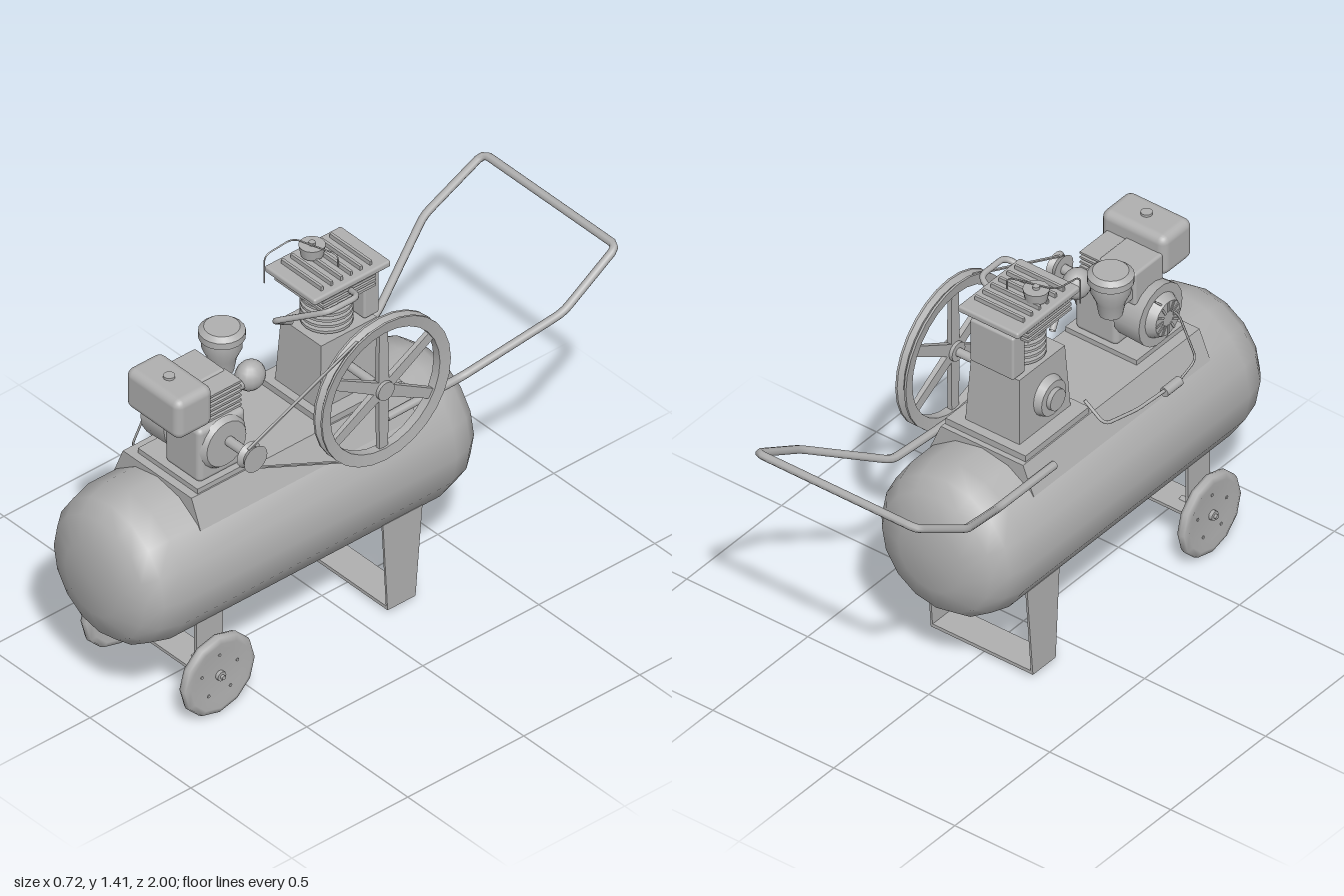
import * as THREE from 'three';
import { toCreasedNormals } from 'three/addons/utils/BufferGeometryUtils.js';
import { RoundedBoxGeometry } from 'three/addons/geometries/RoundedBoxGeometry.js';

const grey = new THREE.MeshStandardMaterial({ color: 0xb0b0b0, side: THREE.DoubleSide });
grey.name = 'grey';

export function createModel() {
  const model = new THREE.Group();
  model.name = 'airCompressor';

  const add = (name, geo, x = 0, y = 0, z = 0, parent = model) => {
    const m = new THREE.Mesh(geo, grey);
    m.name = name;
    m.position.set(x, y, z);
    parent.add(m);
    return m;
  };
  const group = (name) => {
    const g = new THREE.Group();
    g.name = name;
    model.add(g);
    return g;
  };
  // box given by its minimum and maximum corners
  const box = (name, [x0, y0, z0], [x1, y1, z1], parent, r = 0) => {
    const s = [x1 - x0, y1 - y0, z1 - z0];
    const geo = r ? new RoundedBoxGeometry(...s, 3, r) : new THREE.BoxGeometry(...s);
    return add(name, geo, (x0 + x1) / 2, (y0 + y1) / 2, (z0 + z1) / 2, parent);
  };
  // cylinder along x, y or z
  const cyl = (name, axis, rTop, rBottom, len, [x, y, z], parent, sides = 20) => {
    const geo = new THREE.CylinderGeometry(rTop, rBottom, len, sides);
    if (axis === 'x') geo.rotateZ(-Math.PI / 2);
    if (axis === 'z') geo.rotateX(Math.PI / 2);
    return add(name, geo, x, y, z, parent);
  };
  const lathe = (pts, sides) => new THREE.LatheGeometry(pts.map((p) => new THREE.Vector2(...p)), sides);
  // pipe with straight runs and tight bends
  const pipe = (name, pts, r, parent, sides = 8) => {
    const v = pts.map((p) => new THREE.Vector3(...p));
    const path = new THREE.CurvePath();
    let from = v[0];
    for (let i = 1; i < v.length - 1; i++) {
      const a = v[i].clone().lerp(v[i - 1], Math.min(0.4, 0.03 / v[i].distanceTo(v[i - 1])));
      const b = v[i].clone().lerp(v[i + 1], Math.min(0.4, 0.03 / v[i].distanceTo(v[i + 1])));
      path.add(new THREE.LineCurve3(from, a));
      path.add(new THREE.QuadraticBezierCurve3(a, v[i], b));
      from = b;
    }
    path.add(new THREE.LineCurve3(from, v[v.length - 1]));
    return add(name, new THREE.TubeGeometry(path, v.length * 16, r, sides, false), 0, 0, 0, parent);
  };

  // air tank with domed ends
  const tank = lathe([[0, -0.5], [0.13, -0.495], [0.225, -0.46], [0.265, -0.41], [0.285, -0.335],
    [0.285, 0.83], [0.265, 0.91], [0.225, 0.96], [0.13, 0.995], [0, 1]], 16);
  add('airTank', toCreasedNormals(tank.rotateX(Math.PI / 2), 0.6), 0, 0.56, 0);

  // saddle folded over the tank
  const fold = new THREE.Shape([[-0.215, 0.745], [0.215, 0.745], [0.17, 0.853], [-0.17, 0.853]]
    .map((p) => new THREE.Vector2(...p)));
  add('saddle', new THREE.ExtrudeGeometry(fold, { depth: 0.93, bevelEnabled: false }), 0, 0, -0.22);

  // push handle
  const side = [[0.33, 1.13, -0.985], [0.345, 0.99, -0.74], [0.215, 0.815, -0.42], [0.205, 0.8, -0.1]];
  pipe('handle', [...side.map(([x, y, z]) => [-x, y, z]).reverse(), ...side], 0.0145);

  // rear leg: tapered straps joined by a foot bar
  const leg = group('rearLeg');
  const strap = new THREE.Shape([[0.25, 0.37], [0.08, 0.37], [0.1, 0.015], [0.22, 0.015]]
    .map((p) => new THREE.Vector2(...p)));
  for (const s of [-1, 1]) {
    const geo = new THREE.ExtrudeGeometry(strap, { depth: 0.008, bevelEnabled: false });
    geo.translate(0, 0, -0.004).rotateY(Math.PI / 2);
    add('legStrap', geo, s * 0.207, 0, 0, leg);
  }
  box('footBar', [-0.207, 0.015, -0.22], [0.207, 0.028, -0.1], leg);

  // wheels on their bracket and axle
  const cart = group('wheelAssembly');
  cyl('axle', 'x', 0.008, 0.008, 0.56, [0, 0.16, 0.665], cart, 8);
  box('axlePlate', [-0.2, 0.158, 0.605], [0.2, 0.17, 0.72], cart);
  for (const s of [-1, 1]) {
    box('wheelBracket', [s * 0.2 - 0.005, 0.158, 0.605], [s * 0.2 + 0.005, 0.375, 0.72], cart);
    cyl('axleClamp', 'x', 0.014, 0.014, 0.055, [s * 0.157, 0.163, 0.665], cart, 8);
    const wheel = lathe([[0, -0.012], [0.1, -0.012], [0.13, -0.021], [0.15, -0.014], [0.156, 0],
      [0.15, 0.014], [0.13, 0.021], [0.1, 0.012], [0, 0.012]], 12);
    add('wheel', wheel.rotateZ(Math.PI / 2), s * 0.245, 0.16, 0.665, cart);
    cyl('wheelHub', 'x', 0.018, 0.018, 0.05, [s * 0.245, 0.16, 0.665], cart, 10);
    for (let i = 0; i < 5; i++) {
      const a = (i / 5) * Math.PI * 2;
      cyl('wheelBolt', 'x', 0.006, 0.006, 0.03,
        [s * 0.245, 0.16 + 0.08 * Math.cos(a), 0.665 + 0.08 * Math.sin(a)], cart, 6);
    }
  }

  // flywheel with grooved rim and six spokes
  const fly = group('flywheel');
  fly.position.set(0.275, 0.998, -0.02);
  const rim = lathe([[0.236, -0.016], [0.278, -0.022], [0.278, -0.014], [0.262, 0], [0.278, 0.014],
    [0.278, 0.022], [0.236, 0.016], [0.236, -0.016]], 28);
  add('rim', toCreasedNormals(rim.rotateZ(Math.PI / 2), 0.5), 0, 0, 0, fly);
  cyl('hub', 'x', 0.035, 0.035, 0.045, [0, 0, 0], fly, 16);
  for (let i = 0; i < 6; i++) {
    const spoke = new THREE.CylinderGeometry(0.026, 0.031, 0.225, 4).rotateY(Math.PI / 4);
    spoke.scale(0.45, 1, 1).translate(0, 0.13, 0).rotateX((i * Math.PI) / 3);
    add('spoke', toCreasedNormals(spoke, 0.5), 0, 0, 0, fly);
  }

  // drive pulley and thin belt
  const pulley = lathe([[0, -0.018], [0.05, -0.018], [0.038, 0], [0.05, 0.018], [0, 0.018]], 18);
  add('drivePulley', toCreasedNormals(pulley.rotateZ(Math.PI / 2), 0.5), 0.275, 0.998, 0.54);
  for (const s of [-1, 1]) {
    const tilt = Math.asin(0.225 / 0.56);
    const dy = Math.cos(tilt) * s, dz = Math.sin(tilt);
    const belt = add('belt', new THREE.BoxGeometry(0.01, 0.005, 0.56 * Math.cos(tilt)),
      0.275, 0.998 + dy * 0.153, 0.26 + dz * 0.153);
    belt.rotation.x = s * tilt;
  }

  // compressor pump
  const pump = group('pump');
  box('pumpBase', [-0.165, 0.85, -0.2], [0.165, 0.877, 0.135], pump);
  const crank = new THREE.CylinderGeometry(0.125, 0.14, 0.25, 4).rotateY(Math.PI / 4);
  crank.scale(1.13, 1, 1.36);
  add('pumpCrankcase', toCreasedNormals(crank, 0.5), 0, 1, -0.03, pump);
  cyl('crankshaft', 'x', 0.016, 0.016, 0.2, [0.18, 0.998, -0.02], pump, 12);
  cyl('bearingCover', 'x', 0.075, 0.065, 0.03, [-0.118, 0.985, -0.01], pump, 20);
  cyl('bearingBoss', 'x', 0.04, 0.04, 0.02, [-0.14, 0.985, -0.01], pump, 16);
  cyl('pumpCylinder', 'y', 0.068, 0.068, 0.2, [0, 1.2, -0.02], pump);
  for (let i = 0; i < 7; i++) cyl('cylinderFin', 'y', 0.088, 0.088, 0.01, [0, 1.135 + i * 0.023, -0.02], pump, 24);
  box('intercooler', [-0.09, 1.13, -0.17], [0.09, 1.3, -0.105], pump, 0.008);
  for (let i = 0; i < 3; i++) box('headFin', [-0.12, 1.275 + i * 0.019, -0.13], [0.12, 1.285 + i * 0.019, 0.1], pump);
  box('cylinderHead', [-0.105, 1.27, -0.115], [0.105, 1.33, 0.085], pump);
  box('headPlate', [-0.125, 1.325, -0.19], [0.125, 1.35, 0.14], pump, 0.008);
  for (let i = 0; i < 6; i++) box('topFin', [-0.1, 1.35, -0.13 + i * 0.042], [0.1, 1.366, -0.12 + i * 0.042], pump);
  cyl('intakeFilter', 'y', 0.045, 0.038, 0.04, [-0.06, 1.38, -0.01], pump, 14);
  cyl('filterKnob', 'y', 0.012, 0.012, 0.015, [-0.06, 1.403, -0.01], pump, 8);
  pipe('dischargePipe', [[0.09, 1.3, -0.03], [0.18, 1.33, 0], [0.18, 1.33, 0.13], [0, 1.23, 0.21], [-0.04, 1.15, 0.1]], 0.011, pump);
  pipe('unloaderLine', [[0.045, 1.36, -0.03], [0.045, 1.408, -0.03], [-0.12, 1.405, 0.02],
    [-0.125, 1.39, 0.14], [-0.125, 1.28, 0.14]], 0.003, pump, 6);

  // petrol engine
  const engine = group('engine');
  box('engineBase', [-0.13, 0.85, 0.43], [0.165, 0.872, 0.68], engine);
  box('engineCrankcase', [-0.03, 0.865, 0.45], [0.145, 1.08, 0.655], engine, 0.02);
  cyl('shaftCover', 'x', 0.085, 0.1, 0.02, [0.15, 0.99, 0.55], engine);
  cyl('outputShaft', 'x', 0.018, 0.018, 0.14, [0.21, 0.998, 0.54], engine, 10);
  cyl('fanHousing', 'x', 0.11, 0.115, 0.11, [-0.08, 0.99, 0.55], engine, 18);
  cyl('recoilStarter', 'x', 0.085, 0.065, 0.035, [-0.148, 0.99, 0.55], engine, 18);
  for (let i = 0; i < 12; i++) {
    const vent = new THREE.BoxGeometry(0.012, 0.035, 0.008).translate(0, 0.045, 0).rotateX((i * Math.PI) / 6);
    add('starterVent', vent, -0.163, 0.99, 0.55, engine);
  }
  box('engineBlock', [-0.1, 1.06, 0.46], [0.05, 1.19, 0.61], engine, 0.01);
  box('engineHead', [0.04, 1.08, 0.47], [0.11, 1.17, 0.6], engine);
  for (let i = 0; i < 6; i++) box('engineFin', [0.04, 1.08 + i * 0.019, 0.455], [0.125, 1.088 + i * 0.019, 0.605], engine);
  box('fuelTank', [-0.11, 1.092, 0.6], [0.157, 1.25, 0.757], engine, 0.03);
  cyl('fuelCap', 'y', 0.02, 0.02, 0.012, [0.025, 1.253, 0.68], engine, 12);
  box('airCleanerElbow', [-0.09, 1.08, 0.37], [-0.04, 1.13, 0.48], engine, 0.012);
  add('airCleaner', toCreasedNormals(lathe([[0, 1.07], [0.04, 1.075], [0.05, 1.13], [0.068, 1.17], [0.068, 1.205],
    [0.078, 1.21], [0.078, 1.235], [0.06, 1.25], [0, 1.25]], 20), 0.6), -0.07, 0, 0.37, engine);
  const muffler = add('muffler', new THREE.SphereGeometry(0.05, 14, 10), 0.07, 1.13, 0.37, engine);
  muffler.scale.set(0.95, 1.1, 1.1);
  cyl('mufflerNeck', 'z', 0.025, 0.025, 0.1, [0.07, 1.12, 0.44], engine, 10);

  // air line, valve and throttle cable on the right side
  pipe('airLine', [[-0.15, 0.9, 0.13], [-0.225, 0.83, 0.14], [-0.235, 0.8, 0.3], [-0.235, 0.79, 0.46]], 0.006);
  cyl('checkValve', 'z', 0.018, 0.018, 0.08, [-0.235, 0.785, 0.48], undefined, 10);
  pipe('throttleCable', [[-0.15, 1.08, 0.5], [-0.17, 0.98, 0.6], [-0.22, 0.8, 0.63], [-0.22, 0.77, 0.55]], 0.004, undefined, 6);

  return model;
}
